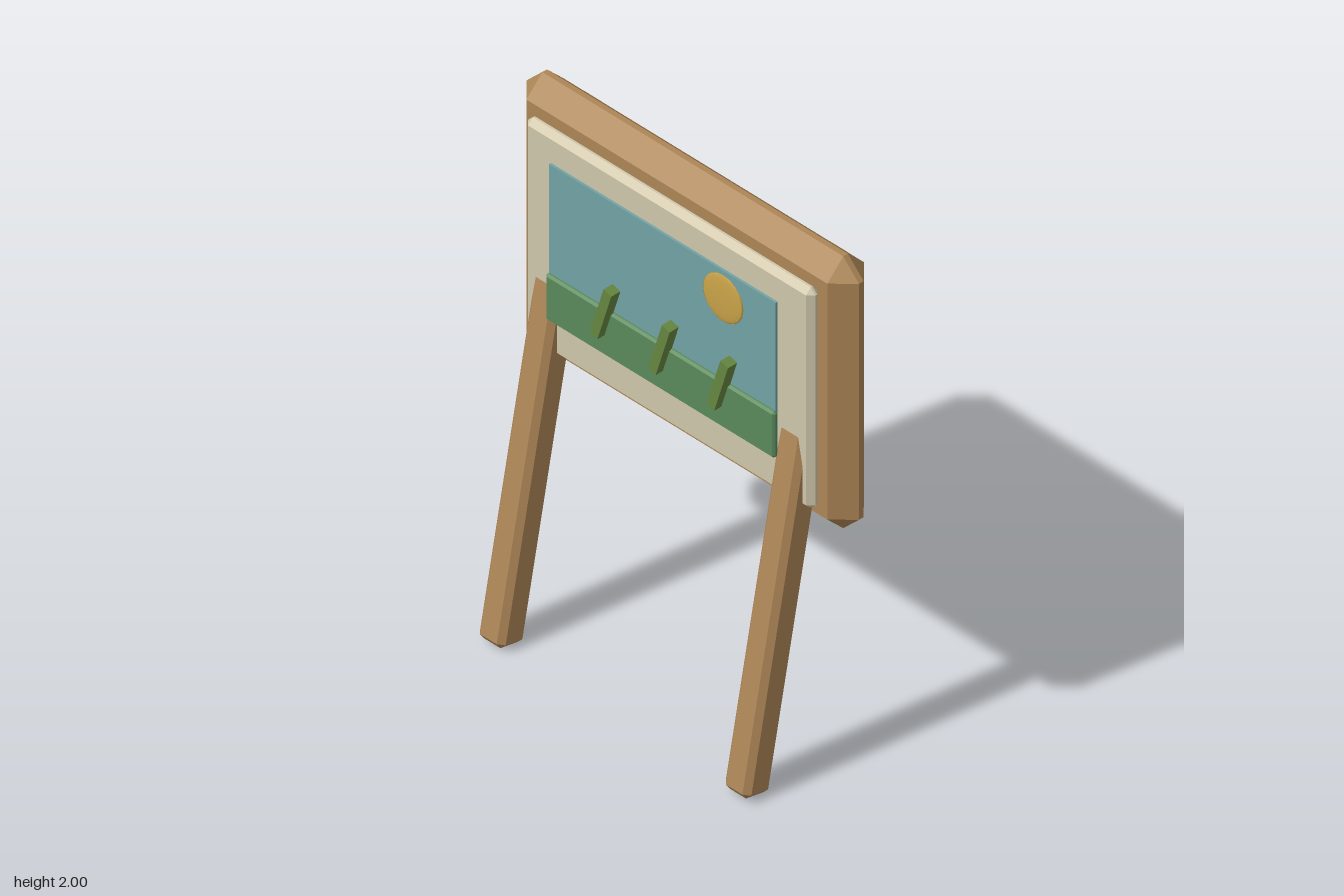
import * as THREE from 'three';
import { ConvexGeometry } from 'three/addons/geometries/ConvexGeometry.js';

const material = (name, color) => {
  const m = new THREE.MeshStandardMaterial({ color });
  m.name = name;
  return m;
};

// Box with every edge cut at 45 degrees by c
function chamferBox(w, h, d, c) {
  const half = [w / 2, h / 2, d / 2];
  const points = [];
  for (const sx of [-1, 1]) for (const sy of [-1, 1]) for (const sz of [-1, 1]) {
    for (let axis = 0; axis < 3; axis++) {
      const p = half.map((v, i) => (i === axis ? v : v - c));
      points.push(new THREE.Vector3(p[0] * sx, p[1] * sy, p[2] * sz));
    }
  }
  return new ConvexGeometry(points);
}

export function createModel() {
  const group = new THREE.Group();
  group.name = 'signBoard';

  const wood = material('wood', 0xad8656);
  const cream = material('cream', 0xd0c7ab);
  const skyBlue = material('skyBlue', 0x72a3a5);
  const sunGold = material('sunGold', 0xc9a348);
  const meadow = material('meadowGreen', 0x5a895b);
  const leaf = material('leafGreen', 0x668741);

  const add = (name, geometry, mat, x, y, z) => {
    const mesh = new THREE.Mesh(geometry, mat);
    mesh.name = name;
    mesh.position.set(x, y, z);
    group.add(mesh);
    return mesh;
  };

  // Board and its cream mount
  add('board', chamferBox(1.48, 1.06, 0.16, 0.07), wood, 0, 1.47, -0.13);
  add('mount', chamferBox(1.28, 0.86, 0.05, 0.021), cream, 0, 1.47, -0.032);

  // Landscape picture
  add('sky', new THREE.BoxGeometry(1.01, 0.6, 0.009), skyBlue, 0, 1.5, 0.009);
  add('ground', chamferBox(1.02, 0.18, 0.022, 0.008), meadow, 0, 1.288, 0.016);
  const sun = add('sun', new THREE.SphereGeometry(0.09, 16, 10), sunGold, 0.283, 1.705, 0.025);
  sun.scale.z = 0.09;

  // Slanted grass blades
  for (const x of [-0.23, 0.03, 0.29]) {
    const blade = add('grassBlade', new THREE.BoxGeometry(0.036, 0.208, 0.04), leaf, x, 1.385, 0.038);
    blade.rotation.z = -0.3;
  }

  // Leaning legs that run through the board and show at its back
  for (const side of [-1, 1]) {
    const leg = add(side > 0 ? 'leftLeg' : 'rightLeg',
      chamferBox(0.114, 1.95, 0.114, 0.02), wood, side * 0.547, 0.969, 0);
    leg.rotation.x = -0.19;
  }

  return group;
}
